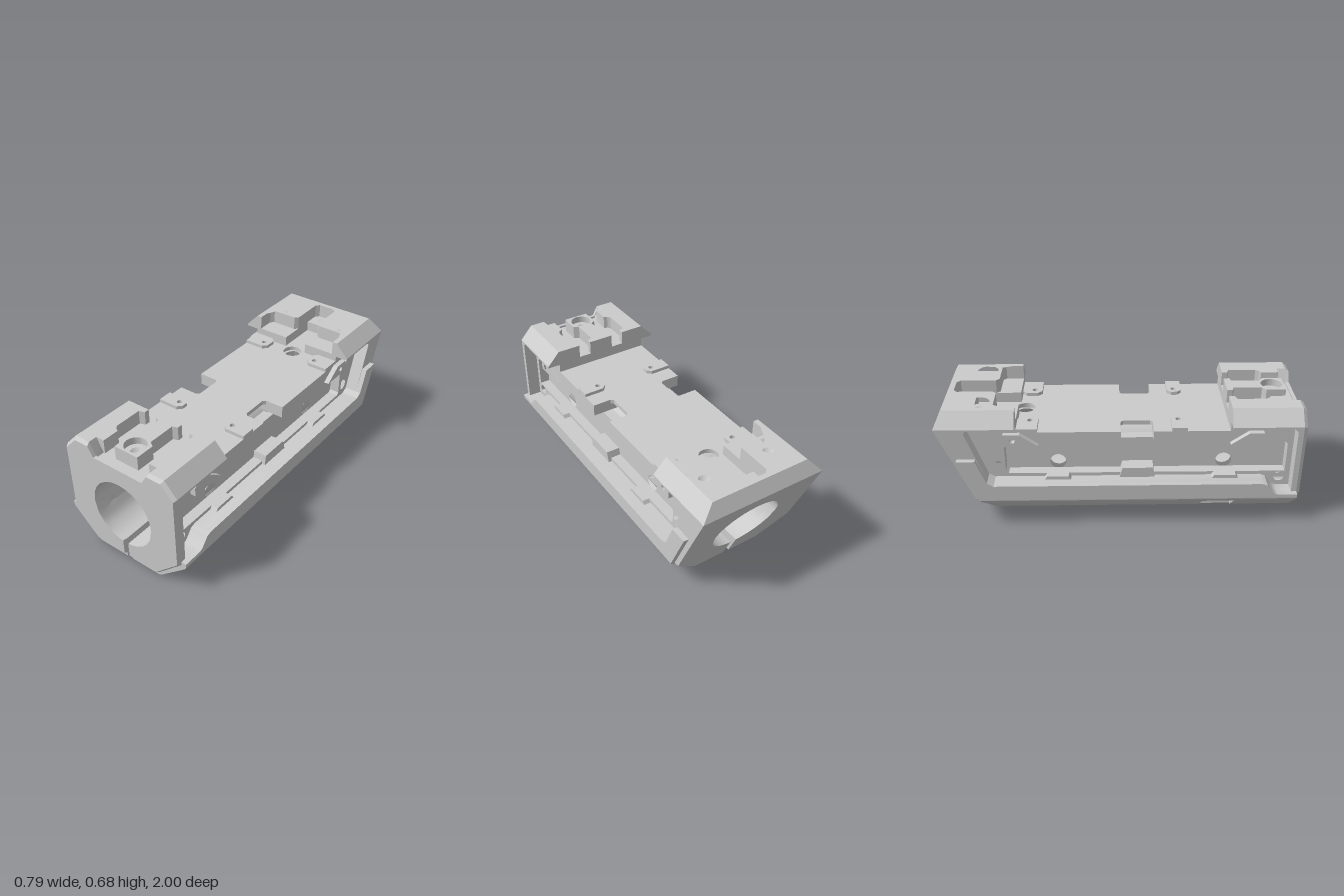
import * as THREE from 'three';
import { mergeGeometries, toCreasedNormals } from 'three/addons/utils/BufferGeometryUtils.js';

const CY = 0.32, R = 0.195, SLIT = 0.018;
const rad = Math.PI / 180;
// slanted rear plane
const backZ = (y) => (y <= 0.6 ? -0.74 - 0.433 * y : -1 + 0.5 * (y - 0.6));
// bore facet corners, from the top round to the slit
const boreAngles = [90, 75, 60, 45, 30, 15, 0, -22.5, -36, -50, -63, -75, -84.7];
const arc = (r) => boreAngles.map((a) => [
  a < -84 ? SLIT : r * Math.cos(a * rad), CY + r * Math.sin(a * rad)]);

// extrude along an axis; points are (z,y) for x, (x,z) for y, (x,y) for z; holes are [a, b, radius]
function extrude(axis, from, to, pts, holes = []) {
  const map = ([a, b]) => axis === 'x' ? [-a, b] : axis === 'y' ? [a, -b] : [a, b];
  const shape = new THREE.Shape(pts.map((p) => new THREE.Vector2(...map(p))));
  for (const [a, b, r] of holes) {
    const [u, v] = map([a, b]);
    shape.holes.push(new THREE.Path().absarc(u, v, r, 0, Math.PI * 2, true));
  }
  const g = new THREE.ExtrudeGeometry(shape, { depth: to - from, bevelEnabled: false, curveSegments: 20 });
  g.translate(0, 0, from);
  if (axis === 'x') g.rotateY(Math.PI / 2);
  if (axis === 'y') g.rotateX(-Math.PI / 2);
  return g;
}
const rect = (a0, b0, a1, b1) => [[a0, b0], [a1, b0], [a1, b1], [a0, b1]];
const both = (pts) => [...pts, ...pts.map(([x, z]) => [-x, z]).reverse()];

// move vertices by a rule
function bend(g, rule) {
  const p = g.attributes.position, v = new THREE.Vector3();
  for (let i = 0; i < p.count; i++) {
    rule(v.fromBufferAttribute(p, i));
    p.setXYZ(i, v.x, v.y, v.z);
  }
  return g;
}
// mirrored copy across x with the winding put right
function mirror(g) {
  const m = g.index ? g.toNonIndexed() : g.clone();
  m.scale(-1, 1, 1);
  const p = m.attributes.position, a = new THREE.Vector3(), b = new THREE.Vector3();
  for (let i = 0; i < p.count; i += 3) {
    a.fromBufferAttribute(p, i + 1); b.fromBufferAttribute(p, i + 2);
    p.setXYZ(i + 1, b.x, b.y, b.z); p.setXYZ(i + 2, a.x, a.y, a.z);
  }
  return m;
}

// half of the bore wall: flat facets with half-round bites where cross holes break through
function boreHalf() {
  const holes = {
    90: [[0.86, 0.025], [-0.54, 0.048], [-0.88, 0.03]],
    0: [[0.58, 0.045], [-0.35, 0.045], [-0.685, 0.022]],
    '-22.5': [[0.89, 0.022]],
  };
  const pts = arc(R), parts = [];
  for (let i = 0; i + 1 < pts.length; i++) {
    const [x0, y0] = pts[i], [x1, y1] = pts[i + 1];
    const L = Math.hypot(x1 - x0, y1 - y0);
    const edge = (a) => (holes[a] || []).flatMap(([z, r]) =>
      Array.from({ length: 13 }, (_, k) => {
        const t = Math.PI / 2 - (k * Math.PI) / 12;
        return [r * Math.cos(t), z + r * Math.sin(t)];
      }));
    const outline = [[0, 0.995], ...edge(boreAngles[i]), [0, backZ(y0)], [L, backZ(y1)],
      ...edge(boreAngles[i + 1]).reverse().map(([s, z]) => [L - s, z]), [L, 0.995]];
    const g = new THREE.ShapeGeometry(new THREE.Shape(outline.map((p) => new THREE.Vector2(...p))));
    parts.push(bend(g, (v) => {
      const t = v.x / L;
      v.set(x0 + (x1 - x0) * t, y0 + (y1 - y0) * t, v.y);
    }));
  }
  return mergeGeometries(parts).toNonIndexed();
}

export function createModel() {
  const model = new THREE.Group();
  const grey = new THREE.MeshStandardMaterial({ color: 0xcccccc });
  const thin = new THREE.MeshStandardMaterial({ color: 0xcccccc, side: THREE.DoubleSide });
  const add = (name, g, mat = grey) => {
    const mesh = new THREE.Mesh(toCreasedNormals(g, 0.5), mat);
    mesh.name = name;
    model.add(mesh);
  };
  const pair = (name, g, mat) => {
    add(name + 'Left', g, mat);
    add(name + 'Right', mirror(g), mat);
  };

  pair('boreWall', boreHalf(), thin);

  // lower hull in three lengths, the middle one relieved for the clamp screw
  const outer = [[0.2, 0], [0.212, 0.002], [0.225, 0.011], [0.385, 0.152], [0.393, 0.163], [0.395, 0.18]];
  const upper = [[0.22, 0.18], ...arc(0.2).slice(7)];
  const hull = [[SLIT, 0.04], [0.2, 0.04], ...outer, ...upper];
  const relieved = [[SLIT, 0.11], [0.335, 0.11], ...outer.slice(3), ...upper];
  const slant = (g, off) => bend(g, (v) => { if (v.z < -0.6) v.z = backZ(v.y) + off; });
  pair('hullFront', extrude('z', 0.64, 0.98, hull));
  pair('hullMiddle', extrude('z', 0.46, 0.64, relieved));
  pair('hullRear', slant(extrude('z', -0.74, 0.46, hull), 0.03));
  pair('clampLug', extrude('x', SLIT, 0.2, rect(0.46, 0, 0.64, 0.11), [[0.55, 0.055, 0.03]]));
  pair('bottomFront', extrude('y', 0, 0.04, rect(SLIT, 0.64, 0.2, 0.98), [[0.13, 0.91, 0.035]]));
  pair('bottomRear', slant(extrude('y', 0, 0.04, rect(SLIT, -0.74, 0.2, 0.46), [[0.13, 0.42, 0.022]]), 0.01));

  // end faces
  const front = extrude('z', 0.98, 1, [[SLIT, 0.025], [0.215, 0.025], [0.365, 0.17], [0.365, 0.6],
    [0.29, 0.68], [0.2, 0.68], [0.16, 0.612], [0, 0.612], ...arc(R)]);
  pair('frontFace', bend(front, (v) => {
    if (v.z > 0.99 && (v.y > 0.65 || v.x > 0.21 || v.y < 0.1)) {
      v.x *= 0.97;
      v.y = 0.34 + (v.y - 0.34) * 0.96;
    }
  }));
  const rear = extrude('z', 0, 0.04, [[SLIT, 0], [0.205, 0], [0.365, 0.155], [0.365, 0.6], [0, 0.6], ...arc(R)]);
  pair('rearFace', bend(rear, (v) => { v.z += backZ(v.y); }));

  // side walls: pocket floor, inner frame, outer frame, then the lower flange
  pair('pocketFloor', extrude('x', 0.195, 0.23, rect(-0.78, 0.2, 0.95, 0.47),
    [[0.58, CY, 0.045], [-0.35, CY, 0.045], [-0.685, 0.33, 0.022], [0.89, 0.245, 0.022]]));
  pair('innerFrame', extrude('x', 0.23, 0.29, [[0.98, 0.12], [0.98, 0.6], [0.6, 0.6], [0.6, 0.54],
    [0.18, 0.54], [0.18, 0.47], [0.905, 0.47], [0.92, 0.455], [0.92, 0.28], [-0.625, 0.28], [-0.64, 0.295],
    [-0.64, 0.455], [-0.625, 0.47], [0, 0.47], [0, 0.54], [-0.57, 0.54], [-0.57, 0.6],
    [backZ(0.6) + 0.01, 0.6], [backZ(0.12) + 0.01, 0.12]],
  [[0.89, 0.245, 0.03], [0.89, 0.5, 0.02], [-0.685, 0.51, 0.032], [-0.685, 0.33, 0.032]]));
  pair('outerFrame', extrude('x', 0.29, 0.365, [[0.98, 0.15], [0.98, 0.6], [0.6, 0.6], [0.6, 0.59],
    [0.93, 0.59], [0.95, 0.57], [0.95, 0.19], [0.87, 0.19], [0.85, 0.2], [0.81, 0.25], [0.78, 0.26],
    [-0.7, 0.26], [-0.735, 0.28], [-0.84, 0.575], [-0.83, 0.59], [-0.57, 0.59], [-0.57, 0.6],
    [backZ(0.6) + 0.01, 0.6], [backZ(0.15) + 0.01, 0.15]]));
  pair('flange', extrude('x', 0.365, 0.395, [[0.98, 0.17], [0.98, 0.19], [0.87, 0.19], [0.85, 0.2], [0.81, 0.25],
    [0.78, 0.26], [-0.7, 0.26], [-0.735, 0.28], [-0.79, 0.42], [-0.89, 0.42], [backZ(0.17) + 0.03, 0.17]]));

  // small bosses and stops inside the side pockets
  pair('bossFront', extrude('x', 0.29, 0.32, [[0.8, 0.47], [0.8, 0.52], [0.78, 0.54], [0.7, 0.54], [0.6, 0.47]],
    [[0.755, 0.5, 0.015]]));
  pair('bossRear', extrude('x', 0.29, 0.32, [[-0.64, 0.47], [-0.64, 0.54], [-0.55, 0.54], [-0.45, 0.47]],
    [[-0.59, 0.505, 0.015]]));
  pair('centreStop', extrude('x', 0.23, 0.31, [[0.19, 0.25], [0.18, 0.32], [0.01, 0.32], [-0.01, 0.25]]));
  for (const z of [0.58, -0.35]) {
    pair('holePad', extrude('x', 0.23, 0.33, [[z + 0.08, 0.25], [z + 0.06, 0.28], [z - 0.06, 0.28], [z - 0.08, 0.25]]));
  }

  // deck over the bore
  add('deck', extrude('y', 0.515, 0.54, both([[0.23, 0.98], [0.23, 0.18], [0.18, 0.18], [0.165, 0.165],
    [0.165, 0.015], [0.18, 0], [0.23, 0], [0.23, -0.95]]),
  [[0, 0.86, 0.025], [0, -0.54, 0.055], [0, -0.88, 0.03]]));
  for (const [z0, z1] of [[0.18, 0.98], [-0.92, 0]]) {
    pair('deckBeam', extrude('y', 0.47, 0.515, rect(0.13, z0, 0.23, z1)));
  }
  pair('notchFloor', extrude('y', 0.43, 0.465, rect(0.165, 0, 0.23, 0.18)));
  for (const [z0, z1, hz] of [[0.28, 0.365, 0.32], [-0.57, -0.455, -0.5]]) {
    pair('deckPad', extrude('y', 0.54, 0.56, [[0.29, z0], [0.17, z0], [0.145, z0 + 0.025],
      [0.145, z1 - 0.025], [0.17, z1], [0.29, z1]], [[0.185, hz, 0.015]]));
  }

  // raised end blocks with pockets and screw seats
  add('frontBlockBase', extrude('y', 0.54, 0.6, rect(-0.23, 0.6, 0.23, 0.98), [[0, 0.86, 0.025]]));
  add('rearBlockBase', bend(extrude('y', 0.54, 0.6, both([[0.23, -0.97], [0.23, -0.57], [0.07, -0.57], [0.07, -0.82]]),
    [[0, -0.88, 0.03]]), (v) => { if (v.z < -0.96) v.z = backZ(v.y) + 0.01; }));
  const taper = (g) => bend(g, (v) => {
    const s = Math.sign(v.x), ax = Math.abs(v.x);
    if (v.y > 0.67 && ax > 0.36) v.x = s * 0.29;
    if (v.y > 0.67 && v.z < -0.99) v.z = -0.96;
    if (v.y < 0.61 && v.z > 0.9 && Math.abs(ax - 0.2) < 0.005) v.x = s * 0.16;
  });
  pair('frontBlockSide', taper(extrude('y', 0.6, 0.68, [[0.365, 0.6], [0.365, 0.98], [0.2, 0.98], [0.2, 0.93],
    [0.15, 0.93], [0.15, 0.83], [0.17, 0.82], [0.183, 0.8], [0.183, 0.64], [0.15, 0.63], [0.15, 0.6]])));
  add('frontBlockIsland', extrude('y', 0.6, 0.68, both([[0.075, 0.93], [0.075, 0.82], [0.045, 0.8],
    [0.045, 0.64], [0.075, 0.63], [0.075, 0.6]]), [[0, 0.86, 0.06]]));
  add('rearBlock', taper(extrude('y', 0.6, 0.68, both([[0.365, -1], [0.365, -0.57], [0.26, -0.57], [0.26, -0.67],
    [0.24, -0.69], [0.09, -0.69], [0.07, -0.71], [0.07, -0.91], [0.05, -0.93]]),
  [[0.2, -0.77, 0.06], [-0.2, -0.77, 0.06]])));
  const seat = (x, z) => {
    const ring = [0.061, 0.03].map((r) => new THREE.Vector2(r, 0.64));
    const g = new THREE.LatheGeometry([...ring.reverse(), new THREE.Vector2(0.03, 0.6)].reverse(), 24);
    return g.translate(x, 0, z).toNonIndexed();
  };
  add('screwSeatFront', seat(0, 0.86), thin);
  pair('screwSeatRear', seat(0.2, -0.77), thin);
  return model;
}
